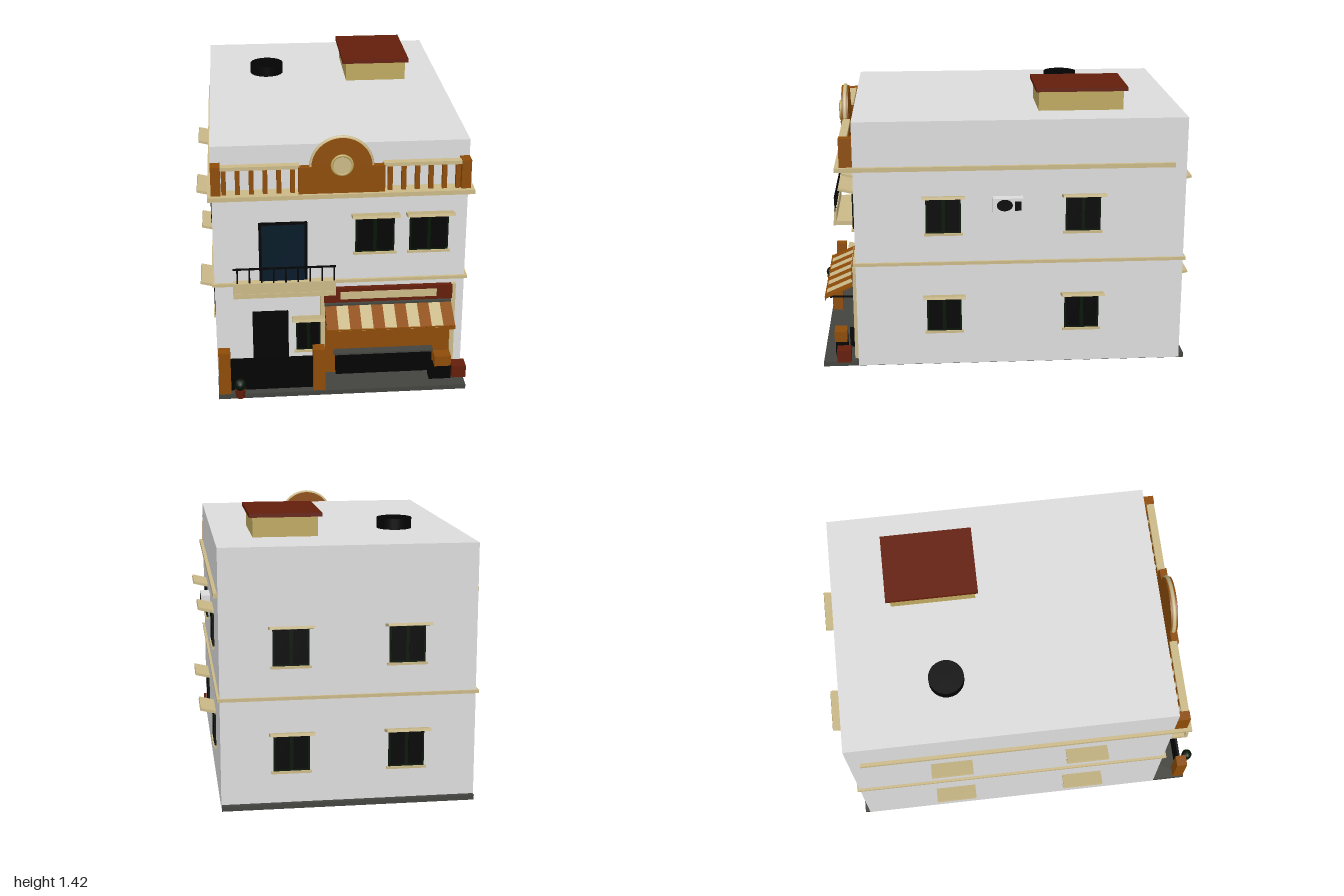
import * as THREE from 'three';

const mat = (name, color) => {
  const m = new THREE.MeshStandardMaterial({ color });
  m.name = name;
  return m;
};

export function createModel() {
  const root = new THREE.Group();
  root.name = 'townhouse';
  const white = mat('white plaster', 0xdcdcdc);
  const orange = mat('burnt orange', 0x8e4c08);
  const tan = mat('cream trim', 0xcab988);
  const ochre = mat('ochre', 0xbea860);
  const red = mat('brick red', 0x641e0a);
  const blue = mat('dark blue glass', 0x061a28);
  const green = mat('dark green', 0x061406);
  const grey = mat('dark grey', 0x43443e);
  const black = mat('black', 0x030303);

  const add = (name, geo, m, x, y, z, parent = root) => {
    const mesh = new THREE.Mesh(geo, m);
    mesh.name = name;
    mesh.position.set(x, y, z);
    parent.add(mesh);
    return mesh;
  };
  // box given by its min and max corners
  const box = (name, m, x0, x1, y0, y1, z0, z1, parent = root) =>
    add(name, new THREE.BoxGeometry(x1 - x0, y1 - y0, z1 - z0), m,
      (x0 + x1) / 2, (y0 + y1) / 2, (z0 + z1) / 2, parent);

  // main volume, ground slab (just inside the side walls) and string courses
  box('groundSlab', grey, -0.63, 0.63, 0, 0.025, -0.945, 0.94);
  box('walls', white, -0.632, 0.632, 0.002, 1.3, -0.92, 0.76);
  box('middleBand', tan, -0.645, 0.645, 0.55, 0.566, -0.932, 0.775);
  for (const s of [-1, 1]) {
    box('sideCornice', tan, s < 0 ? -0.65 : 0.62, s < 0 ? -0.62 : 0.65, 1.048, 1.07, -0.86, 0.85);
  }
  box('frontCornice', tan, -0.62, 0.62, 1.048, 1.07, 0.75, 0.85);

  // roof hut and water tank
  box('roofHut', ochre, 0.115, 0.44, 1.3, 1.4, -0.62, -0.185);
  box('roofHutLid', red, 0.095, 0.458, 1.4, 1.42, -0.64, -0.17);
  add('waterTank', new THREE.CylinderGeometry(0.09, 0.09, 0.055, 24), black, -0.315, 1.3275, -0.375);

  // parapet: corner piers, balusters, rails
  for (const s of [-1, 1]) {
    const span = (a, b) => (s > 0 ? [a, b] : [-b, -a]);
    box('parapetPier', orange, ...span(0.585, 0.632), 1.07, 1.217, 0.757, 0.826);
    box('parapetRail', tan, ...span(0.205, 0.585), 1.197, 1.215, 0.785, 0.824);
    for (let i = 0; i < 6; i++) {
      const x = 0.237 + i * 0.0665;
      box('baluster', orange, ...span(x - 0.0115, x + 0.0115), 1.07, 1.197, 0.793, 0.817);
    }
  }

  // arched centrepiece with rim and medallion
  box('pedimentBase', orange, -0.21, 0.21, 1.07, 1.206, 0.797, 0.834);
  const arch = new THREE.Shape();
  arch.absarc(0, 0, 0.147, 0, Math.PI);
  add('pedimentArch', new THREE.ExtrudeGeometry(arch, { depth: 0.037, bevelEnabled: false, curveSegments: 24 }),
    orange, 0, 1.204, 0.797);
  add('archRim', new THREE.TorusGeometry(0.147, 0.0105, 8, 32, Math.PI), tan, 0, 1.204, 0.8155);
  add('medallion', new THREE.CylinderGeometry(0.046, 0.046, 0.014, 28).rotateX(Math.PI / 2), tan, 0, 1.218, 0.84);
  add('medallionRing', new THREE.TorusGeometry(0.049, 0.007, 8, 28), ochre, 0, 1.218, 0.843);

  // windows: frame, two panes, sill and an upward-tilted hood, built facing +z
  const windowUnit = (x, y, z, turn, w, h) => {
    const g = new THREE.Group();
    g.name = 'window';
    g.position.set(x, y, z);
    g.rotation.y = turn;
    box('windowFrame', green, -w / 2, w / 2, 0, h, -0.01, 0.01, g);
    for (const s of [-1, 1]) {
      const cx = s * w / 4;
      box('windowPane', black, cx - w / 4 + 0.009, cx + w / 4 - 0.009, 0.01, h - 0.01, 0.01, 0.013, g);
    }
    box('windowSill', tan, -w / 2 - 0.01, w / 2 + 0.01, -0.012, 0, -0.01, 0.018, g);
    const hood = box('windowHood', tan, -w / 2 - 0.02, w / 2 + 0.02, h, h + 0.014, -0.003, 0.082, g);
    hood.rotation.x = -0.24;
    root.add(g);
  };
  for (const y of [0.19, 0.72]) {
    for (const z of [0.312, -0.398]) {
      windowUnit(0.63, y, z, Math.PI / 2, 0.178, 0.188);
      windowUnit(-0.63, y, z, -Math.PI / 2, 0.178, 0.188);
    }
    for (const x of [-0.285, 0.285]) windowUnit(x, y, -0.92, Math.PI, 0.178, 0.188);
  }
  for (const x of [0.172, 0.443]) windowUnit(x, 0.718, 0.76, 0, 0.195, 0.202);
  windowUnit(-0.163, 0.17, 0.76, 0, 0.125, 0.188);

  // air conditioner on the left wall
  box('airConditioner', white, 0.63, 0.68, 0.83, 0.908, -0.09, 0.065);
  const fan = add('fanGrille', new THREE.CylinderGeometry(0.03, 0.03, 0.002, 20).rotateZ(Math.PI / 2),
    black, 0.681, 0.873, 0.004);
  fan.scale.z = 1.35;
  box('airConditionerVent', black, 0.68, 0.682, 0.845, 0.893, -0.08, -0.048);

  // balcony with door and railing
  box('balconyDoorFrame', black, -0.407, -0.165, 0.566, 0.892, 0.755, 0.772);
  box('balconyDoorGlass', blue, -0.393, -0.18, 0.575, 0.88, 0.772, 0.776);
  box('balconySlab', tan, -0.54, -0.035, 0.552, 0.576, 0.755, 0.91);
  box('balconyCurb', tan, -0.54, -0.035, 0.576, 0.632, 0.893, 0.907);
  box('balconyRail', black, -0.54, -0.035, 0.705, 0.713, 0.896, 0.904);
  for (let i = 0; i < 9; i++) {
    const x = -0.518 + i * 0.0595;
    box('railingBar', black, x - 0.004, x + 0.004, 0.63, 0.706, 0.897, 0.903);
  }

  // entrance door, gate and gate pillars
  box('entranceDoor', black, -0.447, -0.265, 0.025, 0.397, 0.755, 0.772);
  box('gate', black, -0.565, -0.15, 0.03, 0.208, 0.897, 0.909);
  for (const x of [-0.595, -0.12]) box('gatePillar', orange, x - 0.03, x + 0.03, 0.025, 0.26, 0.877, 0.935);

  // shop front: back panel, frame and sign board
  box('shopPanel', orange, -0.085, 0.57, 0.025, 0.45, 0.755, 0.767);
  box('shopPost', tan, -0.102, -0.08, 0.025, 0.524, 0.755, 0.78);
  box('shopPost', tan, 0.567, 0.589, 0.025, 0.524, 0.755, 0.78);
  box('signBoard', red, -0.084, 0.571, 0.443, 0.522, 0.755, 0.785);
  box('signPanel', tan, 0, 0.49, 0.463, 0.503, 0.785, 0.79);
  box('awningBar', grey, -0.08, 0.567, 0.424, 0.434, 0.76, 0.785);

  // striped awning sloping outward, with a lip
  const awning = new THREE.Group();
  awning.name = 'awning';
  awning.position.set(0, 0.39, 0.845);
  awning.rotation.x = 0.41;
  root.add(awning);
  const stripe = 0.647 / 11;
  for (let i = 0; i < 11; i++) {
    const x = -0.08 + i * stripe;
    box('awningStripe', i % 2 ? tan : orange, x, x + stripe, -0.004, 0.004, -0.088, 0.088, awning);
  }
  box('awningLip', orange, -0.08, 0.567, 0.343, 0.364, 0.921, 0.927);
  for (const x of [-0.075, 0.562]) box('awningBrace', black, x - 0.004, x + 0.004, 0.356, 0.364, 0.765, 0.9);

  // counter and crates
  box('counter', black, -0.025, 0.472, 0.038, 0.153, 0.765, 0.81);
  box('counterTop', grey, -0.035, 0.478, 0.153, 0.163, 0.765, 0.815);
  box('lowerCrate', black, 0.45, 0.562, 0.028, 0.105, 0.82, 0.88);
  box('upperCrate', orange, 0.475, 0.56, 0.105, 0.162, 0.82, 0.885);
  box('redCrate', red, 0.57, 0.643, 0.025, 0.09, 0.797, 0.87);

  // potted plant by the gate
  add('plantPot', new THREE.CylinderGeometry(0.028, 0.021, 0.048, 14), red, -0.52, 0.051, 0.968);
  const bush = add('plantLeaves', new THREE.IcosahedronGeometry(0.03, 1), green, -0.52, 0.098, 0.969);
  bush.scale.y = 1.1;

  return root;
}
